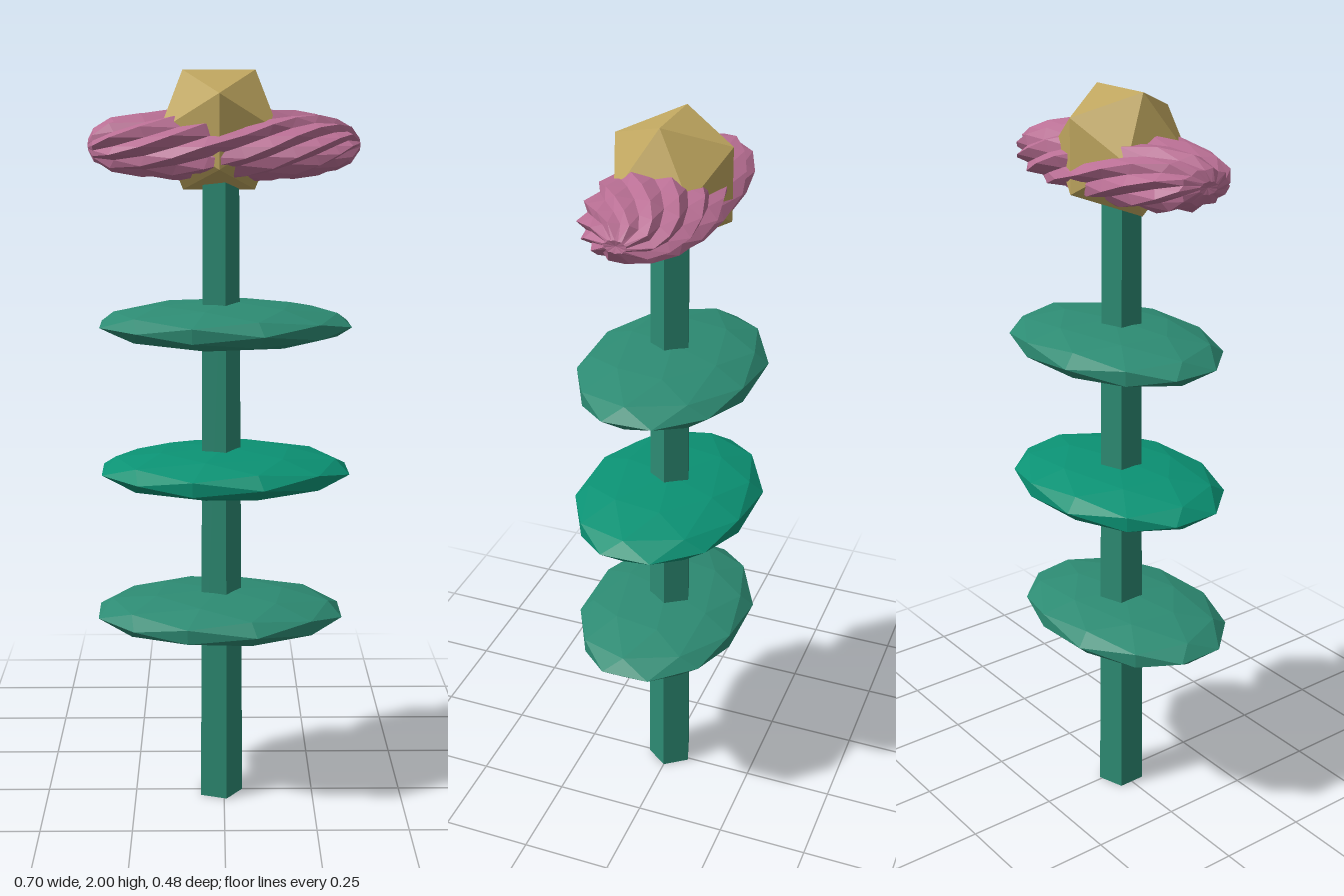
import * as THREE from 'three';

const AXIS_X = -0.013; // the stem axis sits slightly off centre

function addPart(group, name, geometry, color, x, y, z) {
  const mesh = new THREE.Mesh(geometry, new THREE.MeshStandardMaterial({ color, flatShading: true }));
  mesh.name = name;
  mesh.position.set(x, y, z);
  group.add(mesh);
}

// Long spiky blossom: a lathe along x whose points alternate between spike and hollow
function blossomGeometry() {
  const profile = [
    [-0.345, 0], [-0.35, 0.18], [-0.335, 0.48], [-0.28, 0.74], [-0.2, 0.9], [-0.12, 0.97], [-0.04, 1.02],
    [0.04, 1], [0.11, 1], [0.17, 0.94], [0.23, 0.86], [0.28, 0.7], [0.315, 0.52], [0.35, 0.18], [0.345, 0],
  ];
  const segments = 20;
  const geo = new THREE.LatheGeometry(profile.map(([x, r]) => new THREE.Vector2(r, x)), segments);
  const pos = geo.attributes.position;
  for (let i = 0; i <= segments; i++) {
    for (let j = 0; j < profile.length; j++) {
      const k = i * profile.length + j;
      const f = (i + j) % 2 ? 0.87 : 1;
      const slide = (i + j) % 2 ? 0 : 0.012 * Math.sign(profile[j][0]) * (profile[j][1] > 0.5 ? 1 : 0);
      pos.setXYZ(k, pos.getX(k) * f, pos.getY(k) + slide, pos.getZ(k) * f);
    }
  }
  geo.rotateZ(-Math.PI / 2);
  geo.scale(1, 0.093, 0.165);
  const flat = geo.toNonIndexed();
  flat.computeVertexNormals();
  return flat;
}

export function createModel() {
  const group = new THREE.Group();

  // Five-sided tapering stem
  const stem = new THREE.CylinderGeometry(0.052, 0.065, 1.78, 5).rotateY(Math.PI / 2);
  addPart(group, 'stem', stem, 0x2d8b73, AXIS_X, 0.89, 0);

  // Three flat oval leaves threaded on the stem
  const leaves = [
    { name: 'lowerLeaf', x: -0.012, y: 0.547, z: 0.013, depth: 0.238, color: 0x2d8b73 },
    { name: 'middleLeaf', x: 0.003, y: 0.947, z: 0, depth: 0.247, color: 0x0b9274 },
    { name: 'upperLeaf', x: 0.003, y: 1.343, z: -0.01, depth: 0.238, color: 0x2d8b73 },
  ];
  for (const { name, x, y, z, depth, color } of leaves) {
    const leaf = new THREE.IcosahedronGeometry(1, 1).rotateY(0.29).scale(0.345, 0.063, depth);
    addPart(group, name, leaf, color, x, y, z);
  }

  // Spiky petals around a faceted centre
  addPart(group, 'petals', blossomGeometry(), 0xb96f94, 0, 1.812, 0);
  addPart(group, 'flowerCentre', new THREE.IcosahedronGeometry(0.178, 0), 0xbfa65f, AXIS_X, 1.849, -0.005);

  return group;
}
